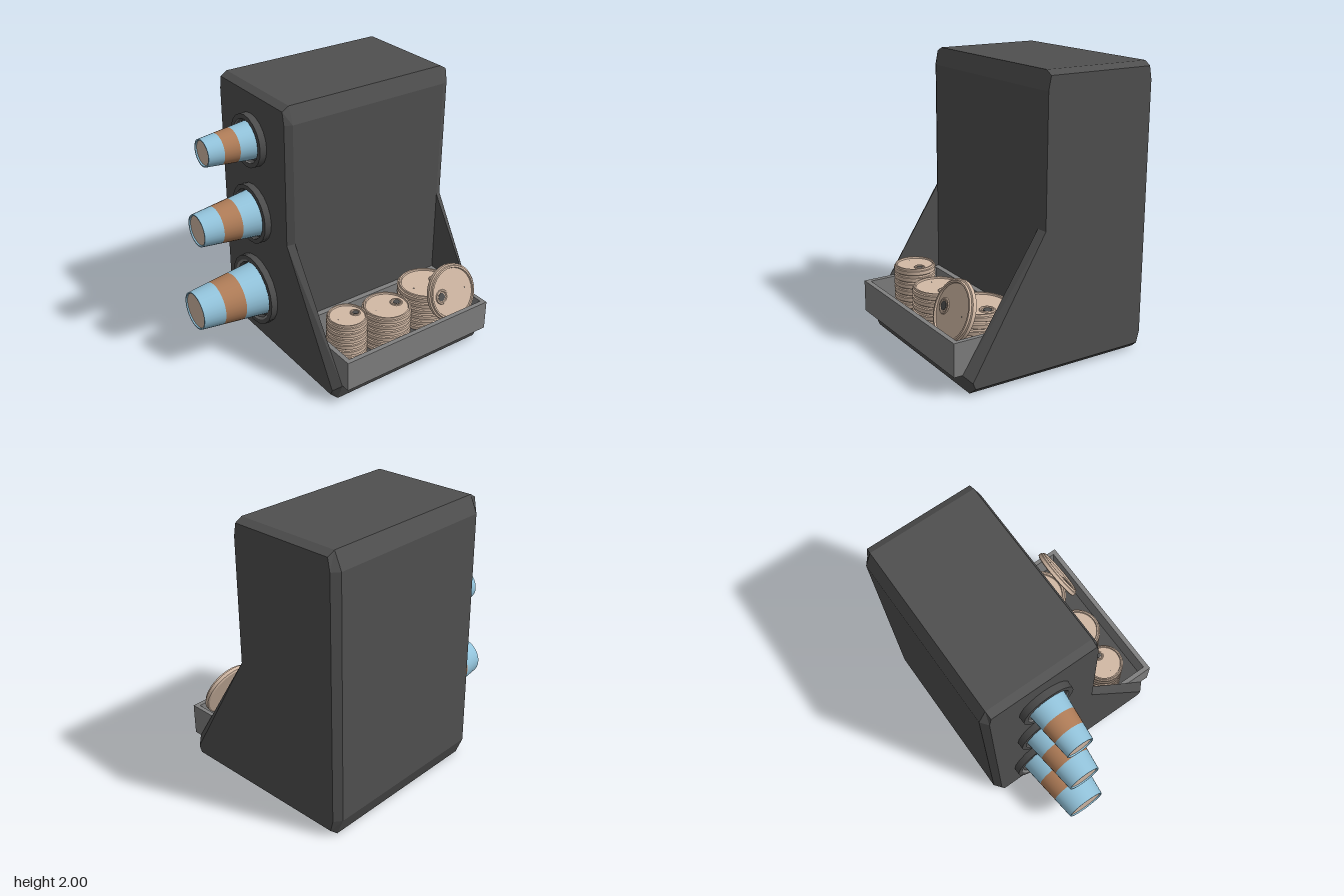
import * as THREE from 'three';

const mat = (name, color, side = THREE.FrontSide) => {
  const m = new THREE.MeshStandardMaterial({ color, side });
  m.name = name;
  return m;
};

// Closed, flat-faced solid between two outlines at different depths
function loft(P, zp, Q, zq) {
  const pos = [];
  const flip = zq < zp;
  const tri = (a, b, c) => pos.push(...a, ...(flip ? c : b), ...(flip ? b : c));
  const p3 = P.map(([x, y]) => [x, y, zp]);
  const q3 = Q.map(([x, y]) => [x, y, zq]);
  P.forEach((_, i) => {
    const j = (i + 1) % P.length;
    tri(p3[i], p3[j], q3[j]);
    tri(p3[i], q3[j], q3[i]);
  });
  const faces = (R) => THREE.ShapeUtils.triangulateShape(R.map(([x, y]) => new THREE.Vector2(x, y)), []);
  for (const [a, b, c] of faces(Q)) tri(q3[a], q3[b], q3[c]);
  for (const [a, b, c] of faces(P)) tri(p3[a], p3[c], p3[b]);
  const g = new THREE.BufferGeometry();
  g.setAttribute('position', new THREE.Float32BufferAttribute(pos, 3));
  g.computeVertexNormals();
  return g;
}

// Lathe with a hard edge at every profile point
function hardLathe(points, segments) {
  const out = new THREE.Group();
  for (let i = 0; i < points.length - 1; i++) {
    const pair = [points[i], points[i + 1]].map(([r, y]) => new THREE.Vector2(r, y));
    out.add(new THREE.Mesh(new THREE.LatheGeometry(pair, segments)));
  }
  return out;
}

export function createModel() {
  const dark = mat('charcoal casing', 0x505050);
  const grey = mat('tray grey', 0x808080);
  const blue = mat('cup blue', 0x93c4dc, THREE.DoubleSide);
  const brown = mat('band brown', 0xb07d58, THREE.DoubleSide);
  const tan = mat('lid beige', 0xd2b9a5, THREE.DoubleSide);
  const collarMat = mat('collar charcoal', 0x4c4c4c, THREE.DoubleSide);
  const lipMat = mat('collar lip grey', 0x808080, THREE.DoubleSide);

  const root = new THREE.Group();
  root.name = 'cupAndLidDispenser';
  const add = (parent, name, geo, material, x = 0, y = 0, z = 0) => {
    const m = new THREE.Mesh(geo, material);
    m.name = name;
    m.position.set(x, y, z);
    parent.add(m);
    return m;
  };
  const addLathe = (parent, name, points, material, segments) => {
    const g = hardLathe(points, segments);
    g.name = name;
    g.children.forEach((m) => { m.material = material; m.name = name + 'Face'; });
    parent.add(g);
    return g;
  };

  // Casing: core with a low step on its left, closed by chamfered end panels with wings
  const zF = 0.425, zB = -0.95, ch = 0.052;
  const core = [[-0.7, 0], [0.635, 0], [0.685, 0.135], [0.128, 0.14], [0.128, 1.88],
    [0.085, 2], [-0.7, 2], [-0.753, 1.88], [-0.753, 0.13]];
  const wing = [[-0.7, 0], [0.635, 0], [0.685, 0.135], [0.128, 1.0], [0.128, 1.88],
    [0.085, 2], [-0.7, 2], [-0.753, 1.88], [-0.753, 0.13]];
  const inset = [[-0.69, 0.045], [0.62, 0.045], [0.64, 0.09], [0.103, 0.99], [0.103, 1.88],
    [0.085, 1.97], [-0.695, 1.97], [-0.712, 1.88], [-0.712, 0.13]];
  add(root, 'casingCore', loft(core, zB + ch, core, zF - ch), dark);
  add(root, 'frontPanel', loft(wing, zF - ch, inset, zF), dark);
  add(root, 'backPanel', loft(wing, zB + ch, inset, zB), dark);

  // Lid tray: rectangular frame, thin bottom and dark floor
  const rect = (path, x0, x1, z0, z1) => {
    path.moveTo(x0, -z1);
    path.lineTo(x1, -z1);
    path.lineTo(x1, -z0);
    path.lineTo(x0, -z0);
    path.closePath();
    return path;
  };
  const frame = rect(new THREE.Shape(), 0.12, 0.745, -0.896, 0.37);
  frame.holes.push(rect(new THREE.Path(), 0.17, 0.71, -0.865, 0.335));
  const frameGeo = new THREE.ExtrudeGeometry(frame, { depth: 0.23, bevelEnabled: false });
  frameGeo.rotateX(-Math.PI / 2);
  add(root, 'trayFrame', frameGeo, grey, 0, 0.136, 0);
  add(root, 'trayBottom', new THREE.BoxGeometry(0.56, 0.012, 1.22), grey, 0.44, 0.143, -0.265);
  add(root, 'trayFloor', new THREE.BoxGeometry(0.545, 0.006, 1.205), dark, 0.44, 0.152, -0.265);

  // Cup dispensers: collar, grey lip and tapered cup with a band
  const cups = [
    { y: 0.43, collar: 0.27, r0: 0.197, r1: 0.143, end: 0.953 },
    { y: 1.07, collar: 0.22, r0: 0.167, r1: 0.118, end: 0.89 },
    { y: 1.635, collar: 0.192, r0: 0.133, r1: 0.098, end: 0.81 },
  ];
  for (const c of cups) {
    const g = new THREE.Group();
    g.name = 'cupDispenser';
    g.position.set(-0.31, c.y, zF);
    g.rotation.x = Math.PI / 2;
    root.add(g);
    const outerLip = c.collar - 0.034, innerLip = c.r0 + 0.022;
    addLathe(g, 'collar', [[c.collar, 0], [c.collar, 0.05], [outerLip, 0.05]], collarMat, 20);
    addLathe(g, 'collarLip', [[outerLip, 0.05], [innerLip, 0.04]], lipMat, 20);
    addLathe(g, 'collarRecess', [[innerLip, 0.04], [innerLip - 0.008, 0.012], [c.r0 - 0.02, 0.012]], collarMat, 20);

    const len = c.end - 0.475;
    const at = (t) => [c.r0 + (c.r1 - c.r0) * t, 0.05 + len * t];
    addLathe(g, 'cupLowerWall', [at(-0.08), at(0.32)], blue, 32);
    addLathe(g, 'cupBand', [at(0.32), at(0.655)], brown, 32);
    const [re, ye] = at(1);
    addLathe(g, 'cupUpperWall', [at(0.655), at(1), [re - 0.009, ye], [re - 0.012, ye - 0.01]], blue, 32);
    addLathe(g, 'cupBase', [[re - 0.012, ye - 0.01], [0, ye - 0.01]], tan, 32);
  }

  // Lid: stepped rim, sunken top, drinking well and vent dot (origin at its middle)
  const makeLid = (r, detailed) => {
    const g = new THREE.Group();
    g.name = 'lid';
    addLathe(g, 'lidShell', [[0, -0.025], [0.94 * r, -0.025], [r, -0.018], [r, 0.008], [0.95 * r, 0.012],
      [0.93 * r, 0.025], [0.87 * r, 0.025], [0.85 * r, 0.013], [0, 0.013]], tan, 36);
    if (detailed) {
      const w = 0.26 * r;
      const well = addLathe(g, 'drinkWell', [[w, 0.013], [w * 0.92, 0.02], [w * 0.75, 0.02], [w * 0.65, 0.014]], tan, 20);
      well.position.z = -0.48 * r;
      add(g, 'drinkHole', new THREE.CylinderGeometry(0.14 * r, 0.14 * r, 0.003, 16), dark, 0, 0.0155, -0.5 * r);
      add(g, 'ventDot', new THREE.CylinderGeometry(0.02 * r, 0.02 * r, 0.002, 8), dark, 0, 0.0145, 0.54 * r);
    }
    return g;
  };

  // Stacks of lids in three sizes
  const stacks = [
    { x: 0.385, z: -0.61, r: 0.212, top: 0.457, n: 6 },
    { x: 0.45, z: -0.19, r: 0.18, top: 0.457, n: 6 },
    { x: 0.445, z: 0.16, r: 0.147, top: 0.51, n: 7 },
  ];
  for (const s of stacks) {
    const g = new THREE.Group();
    g.name = 'lidStack';
    for (let i = 0; i < s.n; i++) {
      const lid = makeLid(s.r, i === 0);
      lid.position.set(s.x, s.top - 0.025 - i * 0.05, s.z);
      g.add(lid);
    }
    root.add(g);
  }

  // Loose lid leaning against the large stack
  const loose = makeLid(0.213, true);
  loose.name = 'leaningLid';
  loose.rotation.set(0, Math.PI, -THREE.MathUtils.degToRad(68.5), 'ZYX');
  loose.position.set(0.607, 0.467, -0.665);
  root.add(loose);

  return root;
}
